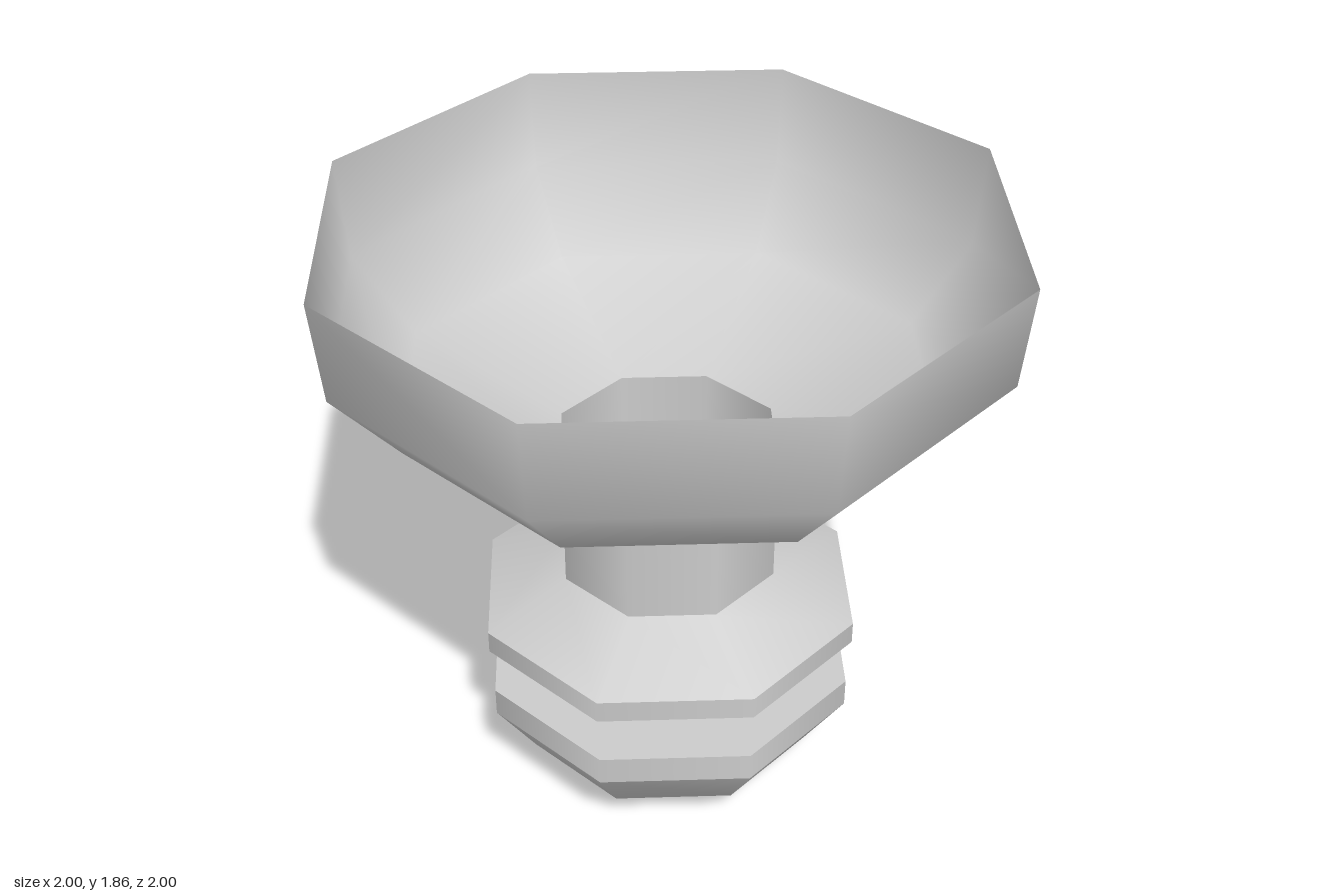
import * as THREE from 'three';

const SIDES = 8;

// Smooth eight-sided band of revolution; profile runs as [radius, height] pairs, bottom to top.
function turned(name, profile, material) {
  const points = profile.map(([r, y]) => new THREE.Vector2(r, y));
  const mesh = new THREE.Mesh(new THREE.LatheGeometry(points, SIDES), material);
  mesh.name = name;
  return mesh;
}

export function createModel() {
  const group = new THREE.Group();
  group.name = 'turnedKnob';
  const material = new THREE.MeshStandardMaterial({ color: 0xcccccc, side: THREE.DoubleSide });

  // One hollow shell, split into bands wherever the surface has a sharp edge
  const bands = {
    baseDome: [[0, 0], [0.19, 0.005], [0.45, 0.13], [0.57, 0.31]],
    baseRim: [[0.57, 0.31], [0.57, 0.4]],
    baseLedge: [[0.57, 0.4], [0.385, 0.4]],
    neck: [[0.385, 0.4], [0.385, 0.56]],
    collarUnderside: [[0.385, 0.56], [0.58, 0.56]],
    collarRim: [[0.58, 0.56], [0.58, 0.63]],
    collarSlope: [[0.58, 0.63], [0.33, 0.75]],
    stem: [[0.33, 0.75], [0.33, 1.165]],
    bowl: [[0.33, 1.165], [0.785, 1.34], [0.973, 1.56], [1, 1.86]],
  };
  for (const [name, profile] of Object.entries(bands)) {
    group.add(turned(name, profile, material));
  }
  return group;
}
